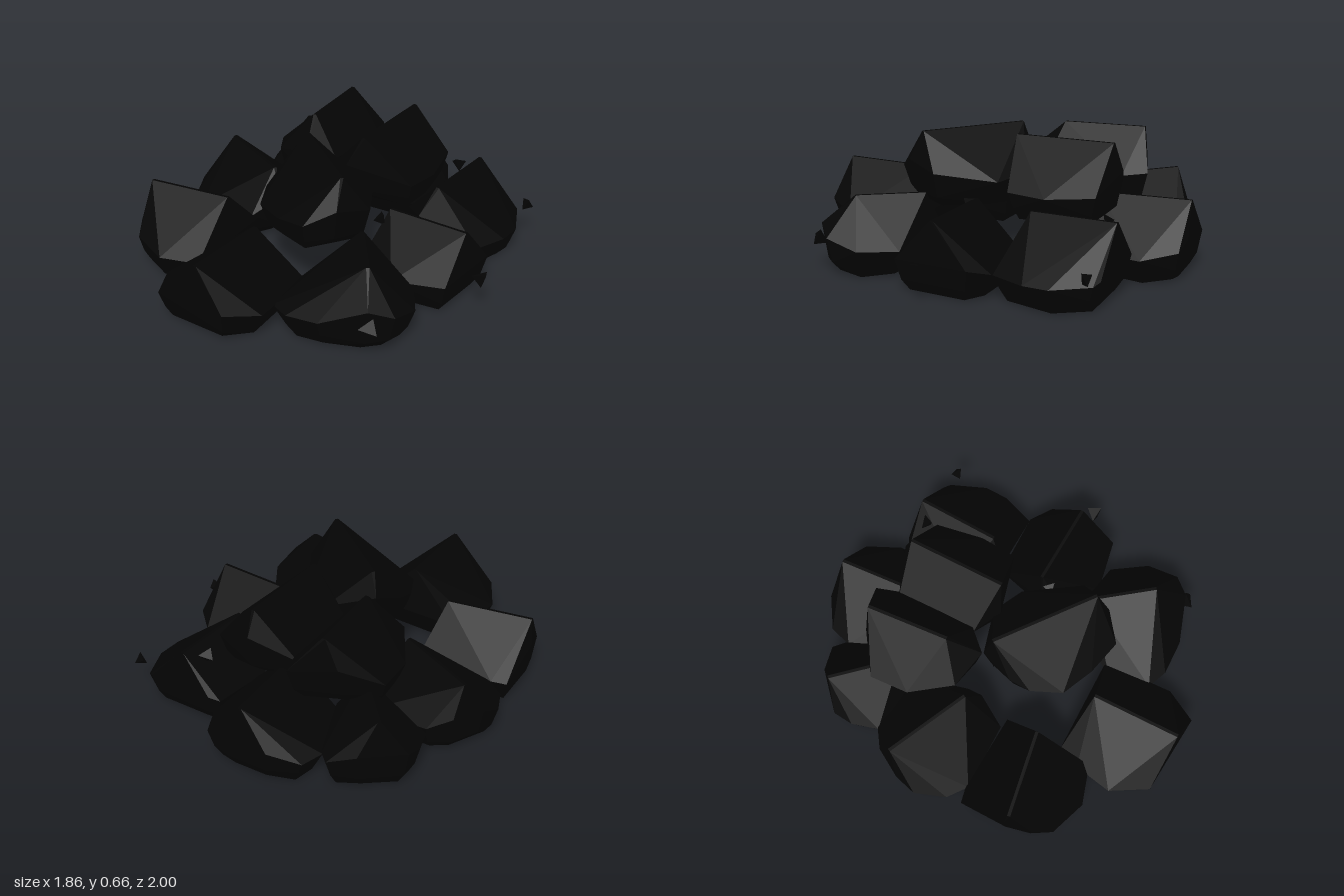
import * as THREE from 'three';
import { ConvexGeometry } from 'three/addons/geometries/ConvexGeometry.js';

const material = new THREE.MeshStandardMaterial({ color: 0x040404, flatShading: true });

// A faceted lump: widest at its plan outline, gabled ridge on top, narrower base below
function lump(name, y, outline, outer, inner) {
  const n = outline.length;
  const cx = outline.reduce((s, p) => s + p[0], 0) / n;
  const cz = outline.reduce((s, p) => s + p[1], 0) / n;
  const dx = outer[0] - inner[0], dz = outer[1] - inner[1], len = Math.hypot(dx, dz);
  const pts = [];
  const ring = (p, k, h) => pts.push(new THREE.Vector3(cx + (p[0] - cx) * k, y + h, cz + (p[1] - cz) * k));
  outline.forEach((p, i) => {
    // Waist high and base narrow below the ridge ends, the reverse along the flanks
    const side = Math.abs((p[0] - inner[0]) * dz - (p[1] - inner[1]) * dx) / len;
    ring(p, 1, Math.max(0.13, 0.25 - 0.42 * side));
    ring(p, 0.9, 0.06 + 0.01 * (i % 2));
    ring(p, 0.69 + 0.4 * Math.min(side, 0.3), 0.004 + 0.012 * (i % 2));
  });
  // Ridge, slightly bevelled across its length
  const nx = -dz / len * 0.008, nz = dx / len * 0.008;
  for (const s of [-1, 1]) {
    pts.push(new THREE.Vector3(outer[0] + s * nx, y + 0.38, outer[1] + s * nz));
    pts.push(new THREE.Vector3(inner[0] + s * nx, y + 0.375, inner[1] + s * nz));
  }
  const mesh = new THREE.Mesh(new ConvexGeometry(pts), material);
  mesh.name = name;
  return mesh;
}

// A small sharp splinter
function chip(x, y, z, turn, size) {
  const mesh = new THREE.Mesh(new THREE.TetrahedronGeometry(size), material);
  mesh.position.set(x, y, z);
  mesh.rotation.set(turn, turn * 1.7, 0.4);
  mesh.scale.set(1, 0.75, 0.9);
  mesh.name = 'chip';
  return mesh;
}

export function createModel() {
  const group = new THREE.Group();
  group.name = 'lumpPile';

  // Lower ring of eight lumps
  group.add(
    lump('frontLump', 0, [[-0.36, 0.48], [0.17, 0.46], [0.2, 0.83], [0.1, 1], [-0.32, 0.98], [-0.43, 0.8], [-0.4, 0.6]],
      [-0.07, 0.98], [-0.09, 0.52]),
    lump('frontLeftLump', 0, [[0.33, 0.2], [0.65, 0.23], [0.77, 0.4], [0.77, 0.57], [0.68, 0.66], [0.46, 0.75], [0.28, 0.76], [0.17, 0.72], [0.13, 0.5], [0.2, 0.3]],
      [0.58, 0.52], [0.36, 0.25]),
    lump('leftLump', 0, [[0.8, -0.22], [0.7, -0.3], [0.35, -0.28], [0.28, 0], [0.3, 0.15], [0.52, 0.23], [0.79, 0.17]],
      [0.78, -0.03], [0.34, -0.03]),
    lump('backLeftLump', 0, [[0.2, -0.78], [0.25, -0.81], [0.62, -0.81], [0.66, -0.79], [0.75, -0.61], [0.75, -0.48], [0.69, -0.3], [0.35, -0.28], [0.18, -0.45]],
      [0.41, -0.8], [0.41, -0.36]),
    lump('backLump', 0, [[-0.39, -0.9], [-0.25, -0.99], [0, -1], [0.1, -0.99], [0.2, -0.83], [0.2, -0.5], [-0.3, -0.48], [-0.42, -0.78]],
      [-0.1, -0.98], [-0.05, -0.52]),
    lump('backRightLump', 0, [[-0.79, -0.62], [-0.62, -0.79], [-0.48, -0.84], [-0.42, -0.79], [-0.3, -0.5], [-0.45, -0.35], [-0.74, -0.39], [-0.79, -0.52]],
      [-0.68, -0.7], [-0.42, -0.44]),
    lump('rightLump', 0, [[-0.94, -0.05], [-0.92, -0.16], [-0.84, -0.31], [-0.74, -0.39], [-0.4, -0.38], [-0.34, -0.08], [-0.34, 0], [-0.42, 0.16], [-0.77, 0.17], [-0.87, 0.1]],
      [-0.85, -0.23], [-0.42, -0.05]),
    lump('frontRightLump', 0, [[-0.86, 0.18], [-0.78, 0.16], [-0.37, 0.17], [-0.36, 0.65], [-0.56, 0.72], [-0.76, 0.66], [-0.82, 0.57], [-0.86, 0.43]],
      [-0.84, 0.45], [-0.4, 0.36])
  );

  // Three lumps resting on top
  group.add(
    lump('upperFrontLump', 0.285, [[-0.26, 0.12], [-0.22, -0.05], [0.03, -0.14], [0.2, -0.07], [0.37, 0.2], [0.3, 0.38], [0.18, 0.49], [0, 0.45], [-0.17, 0.38], [-0.25, 0.23]],
      [0.28, 0.31], [-0.18, -0.02]),
    lump('upperRightLump', 0.285, [[-0.58, -0.5], [-0.4, -0.63], [-0.17, -0.72], [-0.12, -0.6], [-0.11, -0.18], [-0.22, -0.06], [-0.42, -0.1], [-0.56, -0.3]],
      [-0.33, -0.64], [-0.28, -0.22]),
    lump('upperLeftLump', 0.285, [[-0.15, -0.6], [0.08, -0.69], [0.3, -0.64], [0.36, -0.4], [0.35, -0.2], [0.02, -0.09], [-0.12, -0.17]],
      [0.08, -0.64], [0.1, -0.13])
  );

  // Loose splinters around the pile
  [[0.89, 0.18, 0, 0.5, 0.055], [0.72, 0.2, -0.78, 1.1, 0.045], [0.69, 0.17, 0.67, 2, 0.06],
    [0.32, 0.34, 0.03, 0.8, 0.045], [0.32, 0.35, -0.72, 1.5, 0.05], [-0.17, 0.33, -0.02, 2.6, 0.04]]
    .forEach((c) => group.add(chip(...c)));
  return group;
}
